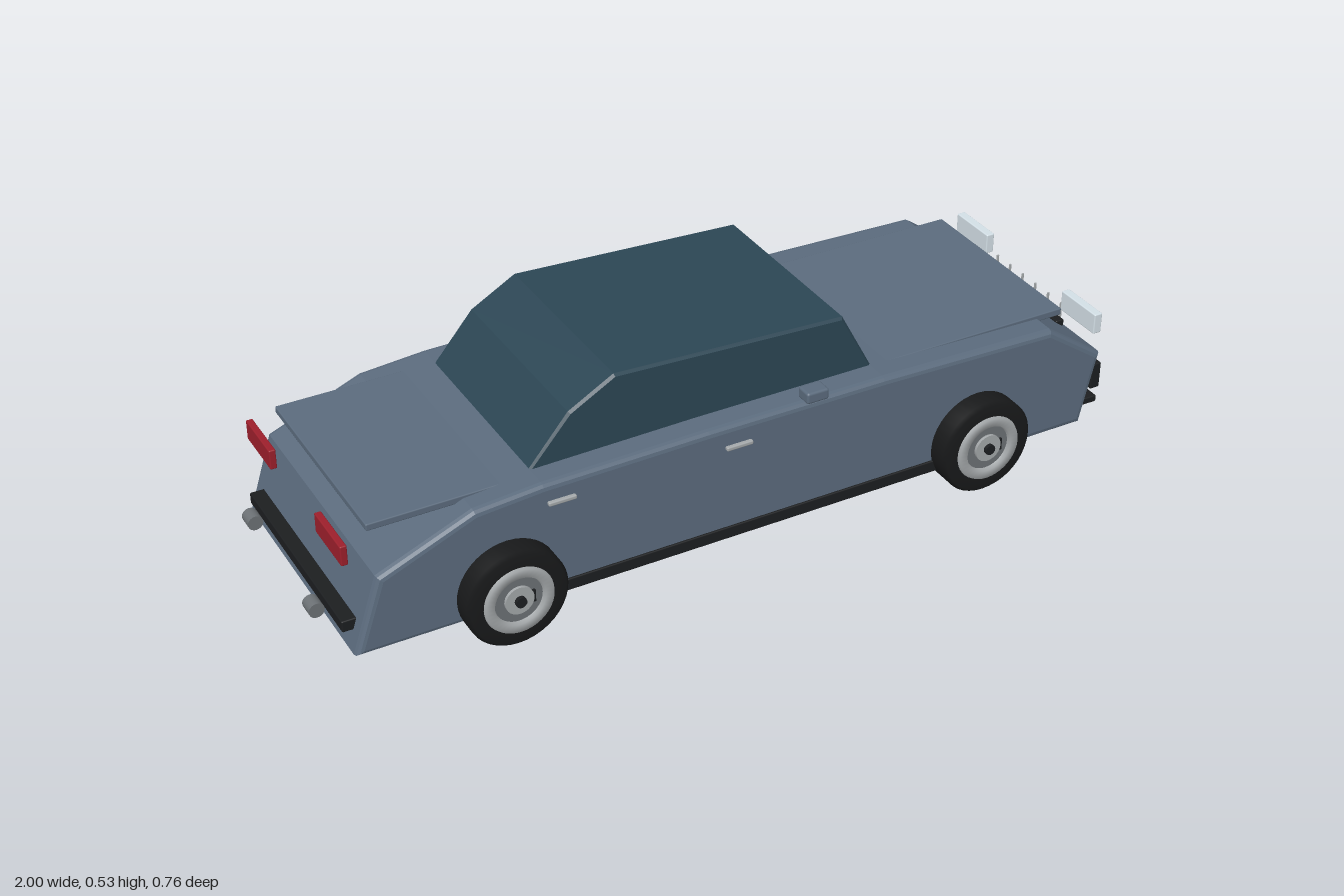
import * as THREE from 'three';
import { RoundedBoxGeometry } from 'three/addons/geometries/RoundedBoxGeometry.js';

const mat = (color) => new THREE.MeshStandardMaterial({ color });

export function createModel() {
  const car = new THREE.Group();
  car.name = 'car';
  const paint = mat(0x5b6b7d), glass = mat(0x2c4654), black = mat(0x1c1e20), rubber = mat(0x18191a);
  const chrome = mat(0xa4a8aa), steel = mat(0x6c7175), lamp = mat(0xd3dfe6), red = mat(0x9c1f2b);
  glass.flatShading = true;

  const add = (name, geometry, material, x = 0, y = 0, z = 0, parent = car) => {
    const mesh = new THREE.Mesh(geometry, material);
    mesh.name = name;
    mesh.position.set(x, y, z);
    parent.add(mesh);
    return mesh;
  };
  // Box given by its extents on each axis, with slightly rounded edges
  const box = (name, material, [x0, x1], [y0, y1], [z0, z1], r = 0.003) =>
    add(name, new RoundedBoxGeometry(x1 - x0, y1 - y0, z1 - z0, 2, r), material,
      (x0 + x1) / 2, (y0 + y1) / 2, (z0 + z1) / 2);
  // Side outline extruded across the car with bevelled flanks
  const hull = (name, material, outline, halfWidth, bevel, segments) => {
    const shape = new THREE.Shape(outline.map(([x, y]) => new THREE.Vector2(x, y)));
    const geometry = new THREE.ExtrudeGeometry(shape, {
      depth: 2 * (halfWidth - bevel), bevelEnabled: true, bevelThickness: bevel,
      bevelSize: bevel, bevelOffset: -bevel, bevelSegments: segments,
    });
    geometry.translate(0, 0, bevel - halfWidth);
    return add(name, geometry, material);
  };

  // Body shell and cabin
  hull('body', paint, [[-0.944, 0.06], [0.918, 0.06], [0.96, 0.243], [0.81, 0.347],
    [0.35, 0.357], [-0.1, 0.357], [-0.5, 0.351], [-0.66, 0.338], [-0.885, 0.245]], 0.314, 0.016, 3);
  hull('cabin', glass, [[-0.505, 0.345], [0.36, 0.345], [0.275, 0.503], [-0.295, 0.527], [-0.405, 0.465]],
    0.247, 0.006, 1);

  // Hood and trunk lid
  box('hood', paint, [0.34, 0.88], [0.338, 0.356], [-0.25, 0.25]);
  box('trunkLid', paint, [-0.88, -0.45], [0.328, 0.345], [-0.257, 0.257]);

  // Front end
  box('grilleBar', black, [0.92, 0.942], [0.257, 0.275], [-0.187, 0.187]);
  for (let i = 0; i < 6; i++) {
    const z = 0.107 - i * 0.053;
    box('grilleSlat', chrome, [0.99, 0.996], [0.18, 0.267], [z - 0.002, z + 0.002], 0.001);
  }
  box('frontBumper', black, [0.925, 0.976], [0.092, 0.109], [-0.293, 0.293]);

  // Rear end
  box('rearBumper', black, [-0.955, -0.92], [0.102, 0.13], [-0.27, 0.27]);

  // Wheel parts, with the axle along z
  const tireProfile = [[0.08, -0.041], [0.112, -0.041], [0.12, -0.033], [0.12, 0.033],
    [0.112, 0.041], [0.08, 0.041]].map(([r, y]) => new THREE.Vector2(r, y));
  const alongZ = (geometry) => geometry.rotateX(Math.PI / 2);
  const disc = (r, depth, n = 32) => alongZ(new THREE.CylinderGeometry(r, r, depth, n));
  const tireGeo = alongZ(new THREE.LatheGeometry(tireProfile, 40));
  const rimProfile = [[0.056, 0.036], [0.06, 0.048], [0.08, 0.048], [0.085, 0.036]]
    .map(([r, y]) => new THREE.Vector2(r, y));
  const rimGeo = alongZ(new THREE.LatheGeometry(rimProfile, 40));
  const rimMat = chrome.clone();
  rimMat.side = THREE.DoubleSide;
  const tireMat = rubber.clone();
  tireMat.side = THREE.DoubleSide;

  const addWheel = (x, side) => {
    const wheel = new THREE.Group();
    wheel.name = 'wheel';
    add('tire', tireGeo, tireMat, 0, 0, 0, wheel);
    add('wheelCore', disc(0.084, 0.076), steel, 0, 0, 0, wheel);
    add('rim', rimGeo, rimMat, 0, 0, 0, wheel);
    add('hub', disc(0.034, 0.01), chrome, 0, 0, 0.04, wheel);
    add('hubCap', disc(0.013, 0.016, 16), black, 0, 0, 0.046, wheel);
    add('hubSlot', new THREE.BoxGeometry(0.008, 0.03, 0.006), black, 0.034, 0, 0.041, wheel);
    wheel.position.set(x, 0.121, side * 0.327);
    if (side < 0) wheel.rotation.y = Math.PI;
    car.add(wheel);
  };

  // Mirrored parts on both flanks
  for (const side of [1, -1]) {
    const span = (a, b) => (side > 0 ? [a, b] : [-b, -a]);
    addWheel(-0.592, side);
    addWheel(0.607, side);
    box('headlight', lamp, [0.953, 0.975], [0.282, 0.334], span(0.155, 0.286));
    box('frontVent', black, [0.955, 0.981], [0.132, 0.2], span(0.189, 0.293));
    box('taillight', red, [-0.945, -0.929], [0.271, 0.32], span(0.13, 0.272));
    box('mirror', paint, [0.13, 0.186], [0.369, 0.397], span(0.298, 0.34), 0.006);
    box('sideSkirt', black, [-0.52, 0.54], [0.062, 0.092], span(0.3, 0.319));
    for (const x of [-0.46, -0.028])
      box('doorHandle', chrome, [x - 0.033, x + 0.033], [0.298, 0.308], span(0.308, 0.323));
    add('exhaustPipe', disc(0.018, 0.038, 20), steel, -0.982, 0.123, side * 0.18);
  }

  return car;
}
